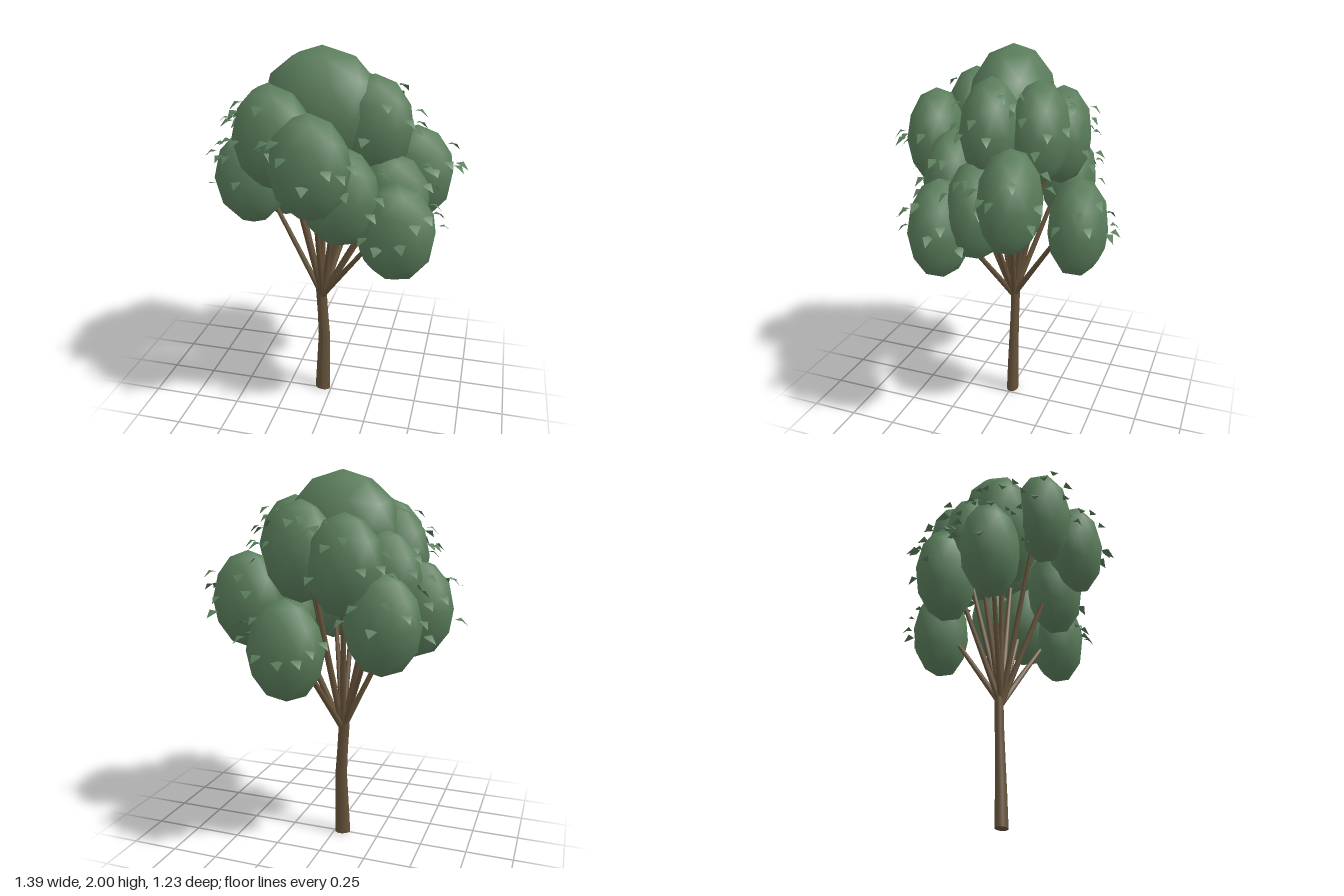
import * as THREE from 'three';
import { mergeVertices, mergeGeometries } from 'three/addons/utils/BufferGeometryUtils.js';

const bark = new THREE.MeshStandardMaterial({ color: 0x66533a });
bark.name = 'bark brown';
const green = new THREE.MeshStandardMaterial({ color: 0x5a7d5b, side: THREE.DoubleSide });
green.name = 'foliage green';

// everything is a little flattened front to back
const FLAT = 0.76;

// foliage clumps: centre x, y, z
const CLUMPS = [
  [-0.005, 1.51, 0.4], [-0.425, 1.31, 0.03], [0.38, 1.15, 0.215], [0.42, 1.34, -0.165],
  [0.11, 1.14, -0.41], [0.325, 1.25, 0.04], [0.105, 1.33, 0.26], [-0.22, 1.6, 0.265],
  [0.22, 1.62, 0.0], [0.11, 1.6, -0.2], [-0.135, 1.54, -0.245], [-0.325, 1.26, -0.235],
  [-0.29, 1.46, -0.1], [-0.285, 1.57, 0.06],
];
const CROWN = [-0.045, 1.685, -0.01];

let seed = 11;
const rand = () => (seed = (seed * 16807) % 2147483647) / 2147483647;

// coarse round ball with a vertex at the top and smooth normals
function ballGeometry() {
  let g = new THREE.IcosahedronGeometry(1, 1);
  g.deleteAttribute('normal');
  g.deleteAttribute('uv');
  g = mergeVertices(g, 1e-4);
  g.rotateZ(-Math.atan(2 / (1 + Math.sqrt(5))));
  g.computeVertexNormals();
  return g;
}

// round bar that tapers from a to b
function taperedBar(a, b, r0, r1) {
  const dir = new THREE.Vector3().subVectors(b, a);
  const g = new THREE.CylinderGeometry(r1, r0, dir.length(), 7);
  g.translate(0, dir.length() / 2, 0);
  g.applyQuaternion(new THREE.Quaternion().setFromUnitVectors(
    new THREE.Vector3(0, 1, 0), dir.normalize()));
  return g.translate(a.x, a.y, a.z);
}

// diamond leaf softly folded across its width, pointing along +x
function leafGeometry() {
  const g = new THREE.BufferGeometry();
  g.setAttribute('position', new THREE.Float32BufferAttribute([
    -0.034, 0.006, 0, 0, 0.008, 0.03, 0, 0.008, -0.03, 0.036, -0.028, 0,
  ], 3));
  g.setIndex([0, 1, 2, 2, 1, 3]);
  g.computeVertexNormals();
  return g;
}

// trunk lofted through a few round sections: x, y, z, radius
function trunkGeometry() {
  const rings = [[-0.05, 0.005, -0.007, 0.044], [-0.046, 0.18, -0.011, 0.039],
    [-0.042, 0.36, -0.017, 0.034], [-0.05, 0.5, -0.019, 0.031], [-0.06, 0.66, -0.02, 0.031]];
  const g = new THREE.CylinderGeometry(1, 1, 1, 12, rings.length - 1);
  const p = g.attributes.position;
  for (let i = 0; i < p.count; i++) {
    const [x, y, z, r] = rings[Math.round((p.getY(i) + 0.5) * (rings.length - 1))];
    // the foot of the trunk is cut slightly askew
    const tilt = y < 0.01 ? -0.004 * p.getX(i) : 0;
    p.setXYZ(i, x + p.getX(i) * r, y + tilt, z + p.getZ(i) * r * FLAT);
  }
  g.computeVertexNormals();
  return g;
}

export function createModel() {
  const tree = new THREE.Group();
  tree.name = 'tree';
  const add = (geometry, material, name) => {
    const m = new THREE.Mesh(geometry, material);
    m.name = name;
    tree.add(m);
    return m;
  };

  add(trunkGeometry(), bark, 'trunk');

  const ball = ballGeometry();
  const leaf = leafGeometry();
  const fork = new THREE.Vector3(-0.05, 0.625, -0.012);

  [...CLUMPS, CROWN].forEach(([x, y, z], i) => {
    const isCrown = i === CLUMPS.length;

    // branch from the fork into the inner side of the clump
    const tip = new THREE.Vector3(x, y, z).lerp(new THREE.Vector3(fork.x, y, fork.z), 0.14);
    add(taperedBar(fork, tip, 0.017, 0.01), bark, 'branch');

    // clump
    const clump = add(ball, green, isCrown ? 'crownClump' : 'foliageClump');
    clump.position.set(x, y, z);
    if (isCrown) clump.scale.set(0.315, 0.315, 0.218);
    else clump.scale.set(0.2, 0.257, 0.152);
    if (isCrown) return;

    // loose leaves fanned around the outward side of the clump
    const out = Math.atan2(z / FLAT, x + 0.03);
    const leaves = [];
    for (let k = 0; k < 9; k++) {
      const a = out + (k - 4) * 0.38 + (rand() - 0.5) * 0.25;
      const h = -0.06 + rand() * 0.25;
      const r = 0.195 * Math.sqrt(1 - (h / 0.255) ** 2) + 0.048;
      const g = leaf.clone();
      g.rotateX((rand() - 0.5) * 0.4);
      g.rotateY(-a + (rand() - 0.5) * 0.5);
      g.translate(Math.cos(a) * r, h, Math.sin(a) * r);
      g.scale(1, 1, FLAT);
      leaves.push(g);
    }
    add(mergeGeometries(leaves), green, 'looseLeaves').position.set(x, y, z);
  });

  return tree;
}
